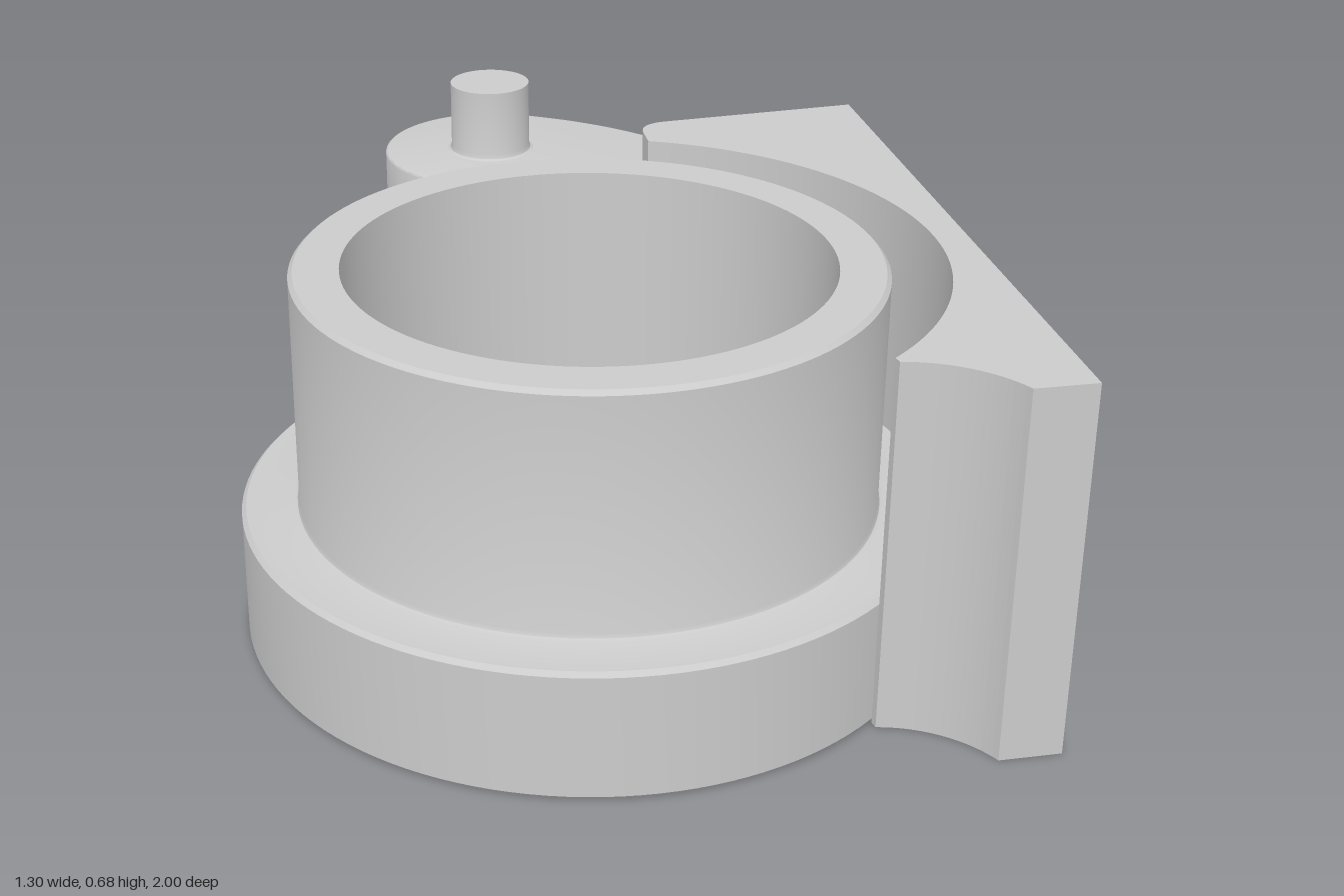
import * as THREE from 'three';
import { toCreasedNormals } from 'three/addons/utils/BufferGeometryUtils.js';

const CX = -0.03, CZ = 0.38;          // ring axis
const PIN_X = -0.03, PIN_Z = -0.77;   // pin axis
const FLANGE_R = 0.62;

const material = new THREE.MeshStandardMaterial({ color: 0xcccccc });
const filletMaterial = new THREE.MeshStandardMaterial({ color: 0xcccccc, side: THREE.DoubleSide });

function part(name, geometry, mat = material) {
  const mesh = new THREE.Mesh(toCreasedNormals(geometry, 0.55), mat);
  mesh.name = name;
  return mesh;
}

// Plan shapes use (x, -z); extrude them upward from y0 to y1.
function extrudeUp(shape, y0, y1, bevel = 0) {
  const g = new THREE.ExtrudeGeometry(shape, {
    depth: y1 - y0 - 2 * bevel, curveSegments: 48, bevelEnabled: bevel > 0,
    bevelSize: bevel, bevelThickness: bevel, bevelOffset: -bevel, bevelSegments: 3,
  });
  return g.rotateX(-Math.PI / 2).translate(0, y0 + bevel, 0);
}

const lathe = (points, segments) =>
  new THREE.LatheGeometry(points.map(([r, y]) => new THREE.Vector2(r, y)), segments);

// Block outline: flat outer side, concave inner side around the flange.
function blockShape() {
  const s = new THREE.Shape();
  s.moveTo(0.65, -1);
  s.lineTo(0.65, 0.34);
  s.lineTo(0.26, 0.305);
  s.quadraticCurveTo(0.2, 0.3, 0.2, 0.245);
  s.absarc(CX, -CZ, FLANGE_R, 1.193, -0.876, true);
  s.absarc(0.33, -1.1, 0.232, 1.4, 0.444, true);
  s.closePath();
  return s;
}

// Curved arm outline ending in a round head about the pin.
function armShape() {
  const v = (x, y) => new THREE.Vector2(x, y);
  const s = new THREE.Shape();
  s.moveTo(-0.04, 0.24);
  s.absarc(CX, -CZ, FLANGE_R, 1.587, 0.9, true);
  s.lineTo(0.64, 0.2);
  s.lineTo(0.65, 0.34);
  s.lineTo(0.65, 0.36);
  s.lineTo(0.57, 0.44);
  s.lineTo(0.55, 0.47);
  s.splineThru([v(0.45, 0.635), v(0.3, 0.81), v(0.19, 0.905), v(0.085, 0.969)]);
  s.absarc(PIN_X, -PIN_Z, 0.23, Math.PI / 3, Math.PI * 1.233, false);
  s.splineThru([v(-0.13, 0.53), v(-0.07, 0.42), v(-0.045, 0.32), v(-0.04, 0.24)]);
  return s;
}

// Concave fillet swept along the back of the block; dir = 1 above the arm, -1 below.
function filletGeometry(y, dir) {
  const R = 0.05, K = 8;
  const path = [[0.65, -0.34, 0.09, -1], [0.27, -0.306, -0.09, -1], [0.235, -0.298, -0.4, -0.9],
    [0.212, -0.28, -0.8, -0.6], [0.202, -0.255, -1, -0.2], [0.2, -0.2, -1, 0]];
  const rings = path.map(([x, z, nx, nz], i) => {
    const ring = [];
    const add = (d, h) => {
      const px = i === 0 ? 0.65 - Math.max(0, d - 0.02) : x + nx * d;
      ring.push([px, y + dir * h, z + nz * d]);
    };
    add(-0.01, -0.01);
    for (let k = 0; k <= K; k++) {
      const a = (k / K) * Math.PI / 2;
      add(R * (1 - Math.sin(a)), R * (1 - Math.cos(a)));
    }
    add(-0.01, R);
    return ring;
  });
  const n = rings[0].length, index = [];
  for (let i = 0; i < rings.length - 1; i++) {
    for (let k = 0; k < n; k++) {
      const a = i * n + k, b = i * n + (k + 1) % n;
      if (dir > 0) index.push(a, b, a + n, b, b + n, a + n);
      else index.push(a, a + n, b, b, a + n, b + n);
    }
  }
  for (let k = 1; k < n - 1; k++) index.push(0, dir > 0 ? k + 1 : k, dir > 0 ? k : k + 1);
  const g = new THREE.BufferGeometry();
  g.setAttribute('position', new THREE.Float32BufferAttribute(rings.flat(2), 3));
  g.setIndex(index);
  g.computeVertexNormals();
  return g;
}

export function createModel() {
  const model = new THREE.Group();
  model.name = 'ringBracket';

  // Flanged sleeve with a through bore
  const sleeve = part('flangedSleeve', lathe([
    [0.43, 0], [0.612, 0], [0.62, 0.008], [0.62, 0.232], [0.612, 0.24],
    [0.528, 0.24], [0.521, 0.243], [0.518, 0.25], [0.518, 0.672], [0.51, 0.68],
    [0.43, 0.68], [0.43, 0],
  ], 128));
  sleeve.position.set(CX, 0, CZ);
  model.add(sleeve);

  // Side block and arm
  model.add(part('sideBlock', extrudeUp(blockShape(), 0, 0.68)));
  model.add(part('arm', extrudeUp(armShape(), 0.205, 0.48, 0.006)));

  // Fillets between arm and block
  model.add(part('upperFillet', filletGeometry(0.48, 1), filletMaterial));
  model.add(part('lowerFillet', filletGeometry(0.205, -1), filletMaterial));

  // Pin through the arm head, with small root fillets
  const pin = part('pin', lathe([
    [0, 0.06], [0.085, 0.06], [0.085, 0.193], [0.088, 0.202], [0.096, 0.206],
    [0.096, 0.479], [0.088, 0.483], [0.085, 0.492], [0.085, 0.63], [0, 0.63],
  ], 48));
  pin.position.set(PIN_X, 0, PIN_Z);
  model.add(pin);

  return model;
}
